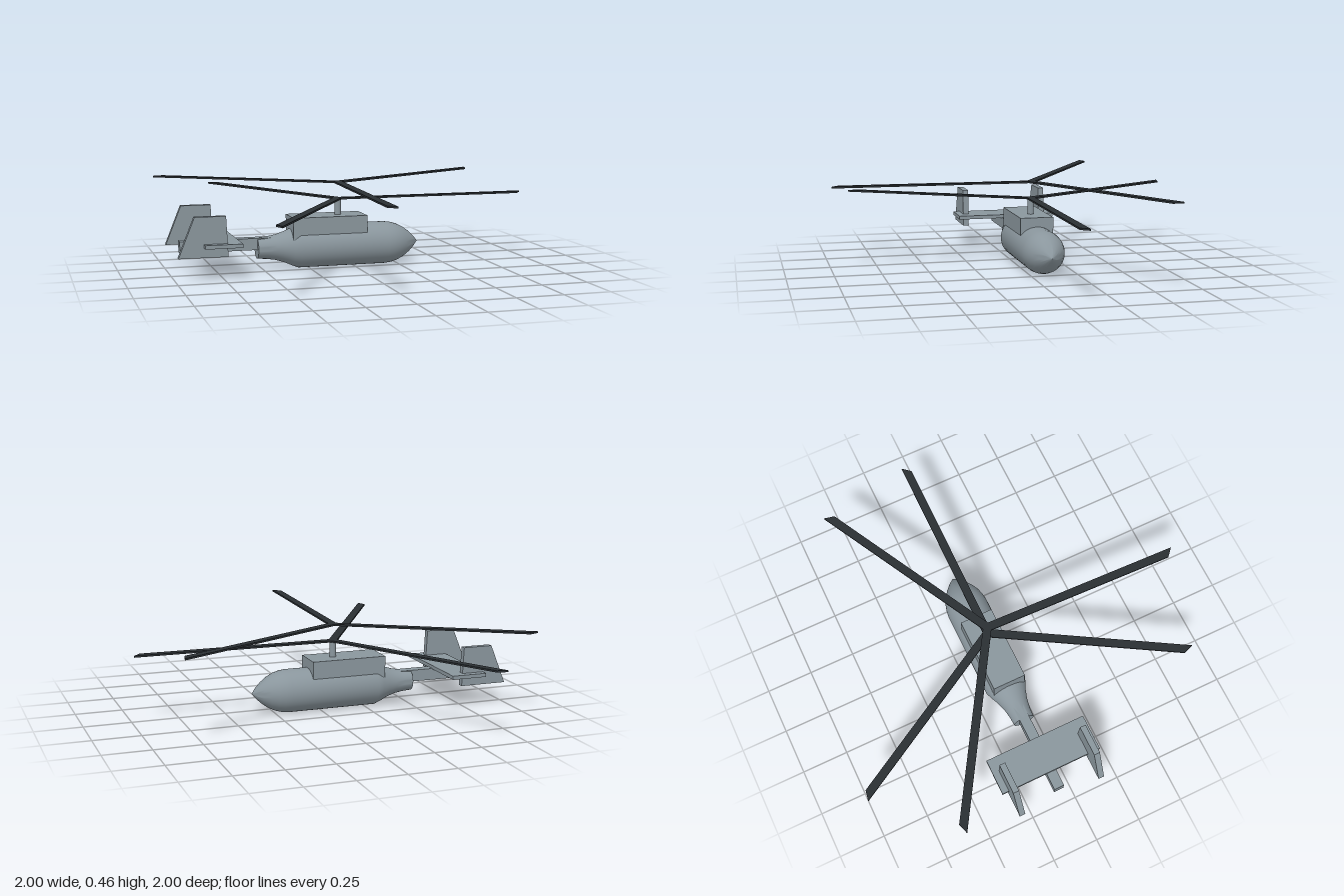
import * as THREE from 'three';
import { toCreasedNormals } from 'three/addons/utils/BufferGeometryUtils.js';

const AXIS_Z = -0.077; // centre plane of the aircraft
const MAST_X = -0.08;

export function createModel() {
  const model = new THREE.Group();
  model.name = 'helicopter';
  const hull = new THREE.MeshStandardMaterial({ color: 0x8a969d });
  const dark = new THREE.MeshStandardMaterial({ color: 0x2a2f33 });

  const add = (name, geometry, material, x = 0, y = 0, z = AXIS_Z, parent = model) => {
    const mesh = new THREE.Mesh(geometry, material);
    mesh.name = name;
    mesh.position.set(x, y, z);
    parent.add(mesh);
    return mesh;
  };
  // Box given by its x and y limits, centred on the aircraft's plane
  const box = (name, x0, x1, y0, y1, depth) =>
    add(name, new THREE.BoxGeometry(x1 - x0, y1 - y0, depth), hull, (x0 + x1) / 2, (y0 + y1) / 2);
  // Flat outline given a thickness, centred on it
  const plate = (points, thickness) => {
    const shape = new THREE.Shape(points.map(([x, y]) => new THREE.Vector2(x, y)));
    return new THREE.ExtrudeGeometry(shape, { depth: thickness, bevelEnabled: false })
      .translate(0, 0, -thickness / 2);
  };

  // Fuselage: turned body, [position along x, radius]
  const profile = [
    [-0.53, 0], [-0.53, 0.057], [-0.48, 0.06], [-0.43, 0.068], [-0.38, 0.084],
    [-0.34, 0.102], [-0.305, 0.115], [0.18, 0.115], [0.215, 0.111], [0.25, 0.101],
    [0.285, 0.084], [0.32, 0.059], [0.35, 0.031], [0.375, 0],
  ].map(([x, r]) => new THREE.Vector2(r, x));
  const body = toCreasedNormals(new THREE.LatheGeometry(profile, 40), 0.6);
  add('fuselage', body.rotateZ(-Math.PI / 2), hull, 0, 0.118);

  // Engine housing, mast and tail
  box('engineHousing', -0.348, 0.062, 0.165, 0.283, 0.18);
  add('mast', new THREE.CylinderGeometry(0.017, 0.017, 0.1, 20), hull, MAST_X, 0.32);
  box('tailBoom', -0.945, -0.45, 0.112, 0.175, 0.055);
  box('stabilizer', -0.853, -0.658, 0.171, 0.191, 0.565);
  const finShape = [[-0.985, 0.122], [-0.728, 0.122], [-0.738, 0.332], [-0.9, 0.332]];
  for (const side of [-1, 1]) {
    add(side > 0 ? 'rightFin' : 'leftFin', plate(finShape, 0.032), hull, 0, 0, AXIS_Z + side * 0.23);
  }

  // Two three-bladed rotors, one above the other, with slanted blade tips
  const blade = plate([[-0.015, -0.022], [1.037, -0.022], [1.074, 0.022], [0, 0.022]], 0.009)
    .rotateX(-Math.PI / 2);
  const rotors = [['lowerRotor', 0.37, -0.4], ['upperRotor', 0.459, 28.1]];
  for (const [name, y, start] of rotors) {
    const rotor = new THREE.Group();
    rotor.name = name;
    rotor.position.set(MAST_X, y, AXIS_Z);
    for (let i = 0; i < 3; i++) {
      add('blade', blade, dark, 0, 0, 0, rotor).rotation.y =
        THREE.MathUtils.degToRad(start + i * 120);
    }
    model.add(rotor);
  }
  return model;
}
